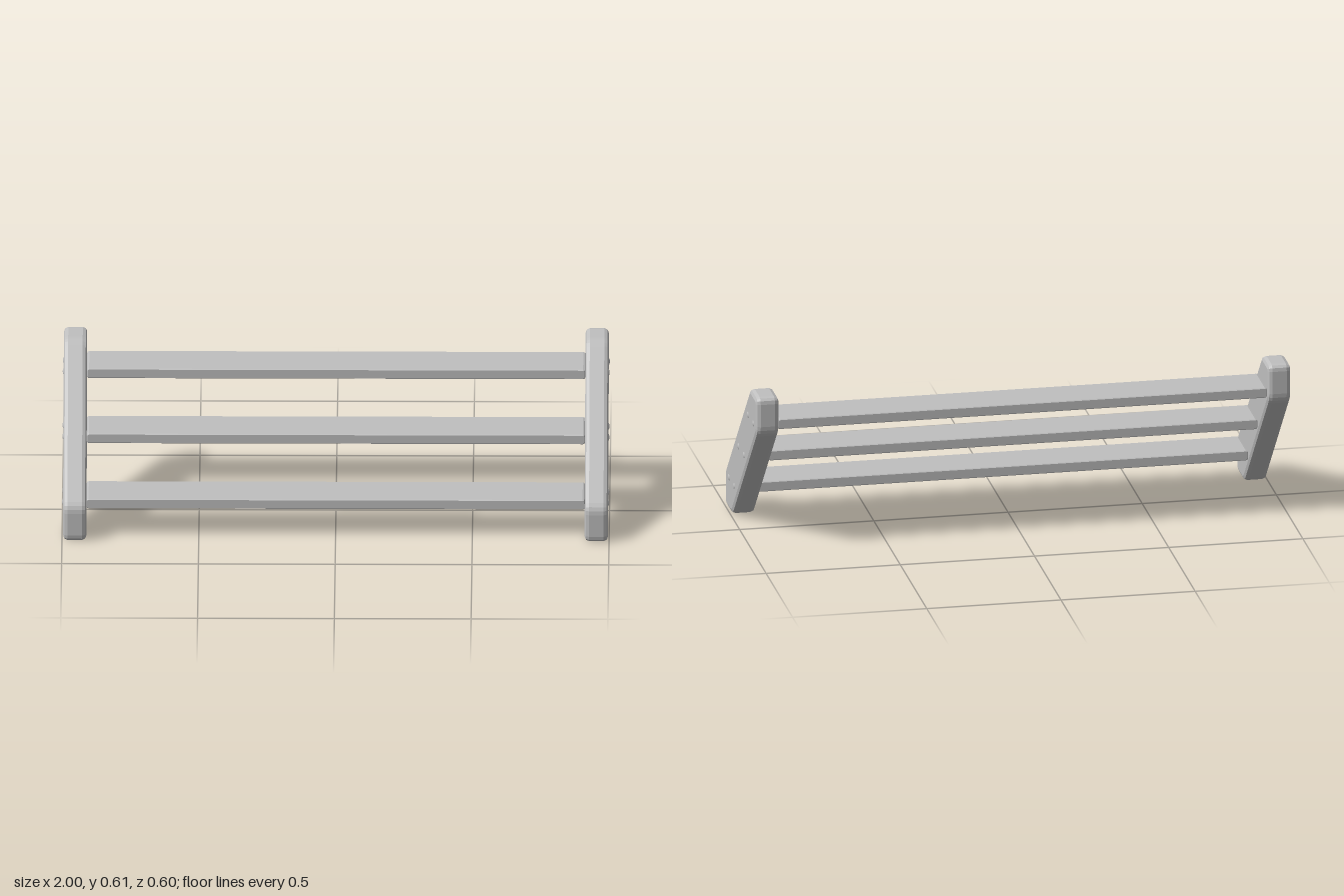
import * as THREE from 'three';

const grey = new THREE.MeshStandardMaterial({ color: 0xc0c0c0 });
grey.name = 'grey';

// Closed outline with each corner softened
function softOutline(points, trim) {
  const shape = new THREE.Shape();
  const v = points.map(p => new THREE.Vector2(...p));
  const toward = (a, b) => a.clone().add(b.clone().sub(a).setLength(trim));
  v.forEach((p, i) => {
    const a = toward(p, v[(i + v.length - 1) % v.length]);
    const b = toward(p, v[(i + 1) % v.length]);
    if (i === 0) shape.moveTo(a.x, a.y);
    else shape.lineTo(a.x, a.y);
    shape.quadraticCurveTo(p.x, p.y, b.x, b.y);
  });
  shape.closePath();
  return shape;
}

// Sloping side board, outline in z and y, extruded along x
function sideBoardGeometry(width, bevel) {
  const outline = softOutline([
    [0.298, 0], [0.298, 0.134], [-0.17, 0.605],
    [-0.298, 0.605], [-0.298, 0.471], [0.17, 0],
  ], 0.024);
  const depth = width - 2 * bevel;
  const geo = new THREE.ExtrudeGeometry(outline, {
    depth, curveSegments: 3, bevelEnabled: true, bevelSegments: 2,
    bevelSize: bevel, bevelThickness: bevel, bevelOffset: -bevel,
  });
  geo.translate(0, 0, -depth / 2);
  geo.rotateY(-Math.PI / 2);
  return geo;
}

// Long flat step with slightly eased edges
function treadGeometry(length, height, depth, bevel) {
  const w = length / 2, h = height / 2;
  const outline = softOutline([[-w, -h], [w, -h], [w, h], [-w, h]], bevel);
  const d = depth - 0.006;
  const geo = new THREE.ExtrudeGeometry(outline, {
    depth: d, curveSegments: 2, bevelEnabled: true, bevelSegments: 1,
    bevelSize: 0.003, bevelThickness: 0.003, bevelOffset: -0.003,
  });
  geo.translate(0, 0, -d / 2);
  return geo;
}

export function createModel() {
  const model = new THREE.Group();
  model.name = 'openStairs';
  const add = (geo, name, x, y, z) => {
    const mesh = new THREE.Mesh(geo, grey);
    mesh.name = name;
    mesh.position.set(x, y, z);
    model.add(mesh);
    return mesh;
  };

  const board = sideBoardGeometry(0.085, 0.016);
  const tread = treadGeometry(1.822, 0.038, 0.168, 0.008);
  // Six-sided domed screw head, pole along z
  const screw = new THREE.SphereGeometry(0.013, 6, 3, 0, Math.PI * 2, 0, Math.PI / 2);
  screw.rotateX(Math.PI / 2);
  screw.scale(1, 1, 0.4);

  // Height, tread centre and screw centre of each step
  const steps = [[0.13, 0.166, 0.172], [0.312, -0.014, -0.011], [0.494, -0.192, -0.188]];
  for (const [y, z] of steps) add(tread, 'tread', 0, y, z);

  for (const side of [-1, 1]) {
    add(board, side > 0 ? 'leftSideBoard' : 'rightSideBoard', side * 0.9535, 0, 0);
    for (const [y, , z] of steps) {
      for (const dz of [-0.0505, 0.0505]) {
        add(screw, 'screwHead', side * 0.9948, y - 0.003, z + dz).rotation.y = side * Math.PI / 2;
      }
    }
  }
  return model;
}
